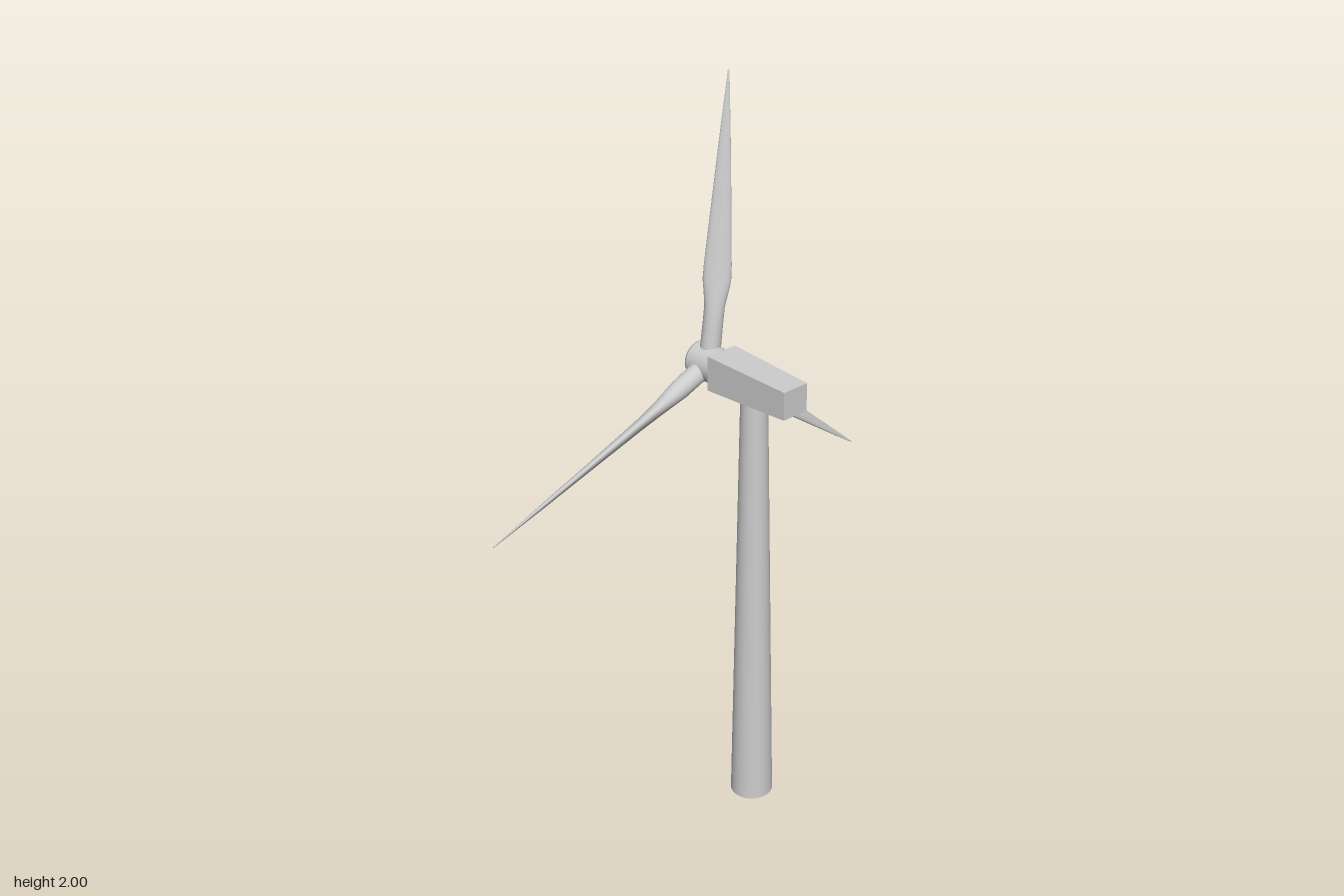
import * as THREE from 'three';

const material = new THREE.MeshStandardMaterial({ color: 0xcccccc });
const AXIS_X = 0.05, HUB_Y = 1.265;

function addMesh(parent, name, geometry, x = 0, y = 0, z = 0) {
  const mesh = new THREE.Mesh(geometry, material);
  mesh.name = name;
  mesh.position.set(x, y, z);
  parent.add(mesh);
  return mesh;
}

// Blade along +y: elliptical sections that go from a round root to a pitched, tapering chord
function bladeGeometry() {
  // [distance from hub, half chord, half thickness, z shift]
  const sections = [
    [0.02, 0.027, 0.027, 0], [0.11, 0.026, 0.026, 0], [0.15, 0.026, 0.022, 0],
    [0.18, 0.03, 0.019, 0], [0.22, 0.036, 0.016, -0.001], [0.26, 0.035, 0.014, -0.003],
    [0.4, 0.026, 0.01, -0.011], [0.58, 0.014, 0.006, -0.022], [0.742, 0.002, 0.001, -0.032],
  ];
  const sides = 24, pitch = Math.PI / 4;
  const positions = [], index = [];
  sections.forEach(([r, chord, thick, shift], s) => {
    for (let i = 0; i < sides; i++) {
      const a = (i / sides) * Math.PI * 2;
      const u = Math.cos(a) * chord, v = Math.sin(a) * thick;
      positions.push(
        u * Math.cos(pitch) - v * Math.sin(pitch), r,
        u * Math.sin(pitch) + v * Math.cos(pitch) + shift);
      if (s < sections.length - 1) {
        const p = s * sides + i, q = s * sides + (i + 1) % sides;
        index.push(p, p + sides, q, q, p + sides, q + sides);
      }
    }
  });
  // Close the tip
  const last = (sections.length - 1) * sides;
  for (let i = 1; i < sides - 1; i++) index.push(last, last + i + 1, last + i);
  const geometry = new THREE.BufferGeometry();
  geometry.setAttribute('position', new THREE.Float32BufferAttribute(positions, 3));
  geometry.setIndex(index);
  geometry.computeVertexNormals();
  return geometry;
}

// Box that narrows toward its front end
function nacelleGeometry() {
  const geometry = new THREE.BoxGeometry(0.095, 0.095, 0.265);
  const p = geometry.attributes.position;
  for (let i = 0; i < p.count; i++) {
    if (p.getZ(i) > 0) p.setXY(i, p.getX(i) * 0.84, p.getY(i) * 0.8);
  }
  geometry.computeVertexNormals();
  return geometry;
}

export function createModel() {
  const model = new THREE.Group();
  model.name = 'windTurbine';

  // Tapered tower
  addMesh(model, 'tower', new THREE.CylinderGeometry(0.035, 0.058, 1.235, 40), AXIS_X, 0.6175, 0.036);

  // Machine housing
  addMesh(model, 'nacelle', nacelleGeometry(), AXIS_X, HUB_Y, 0.0475);

  // Rotor at the back end of the housing
  const rotor = new THREE.Group();
  rotor.name = 'rotor';
  rotor.position.set(AXIS_X, HUB_Y, -0.13);
  model.add(rotor);

  // Hub with a shallow domed nose
  const profile = [[0, -0.05], [0.0485, -0.05], [0.0485, -0.05], [0.0485, 0.034], [0.0485, 0.034],
    [0.046, 0.041], [0.038, 0.046], [0.022, 0.049], [0, 0.05]];
  const hub = addMesh(rotor, 'hub',
    new THREE.LatheGeometry(profile.map(([r, y]) => new THREE.Vector2(r, y)), 40));
  hub.rotation.x = -Math.PI / 2;

  // Three blades
  const blade = bladeGeometry();
  for (let i = 0; i < 3; i++) {
    addMesh(rotor, 'blade' + (i + 1), blade).rotation.z =
      -THREE.MathUtils.degToRad(7.8 + i * 120);
  }
  return model;
}
